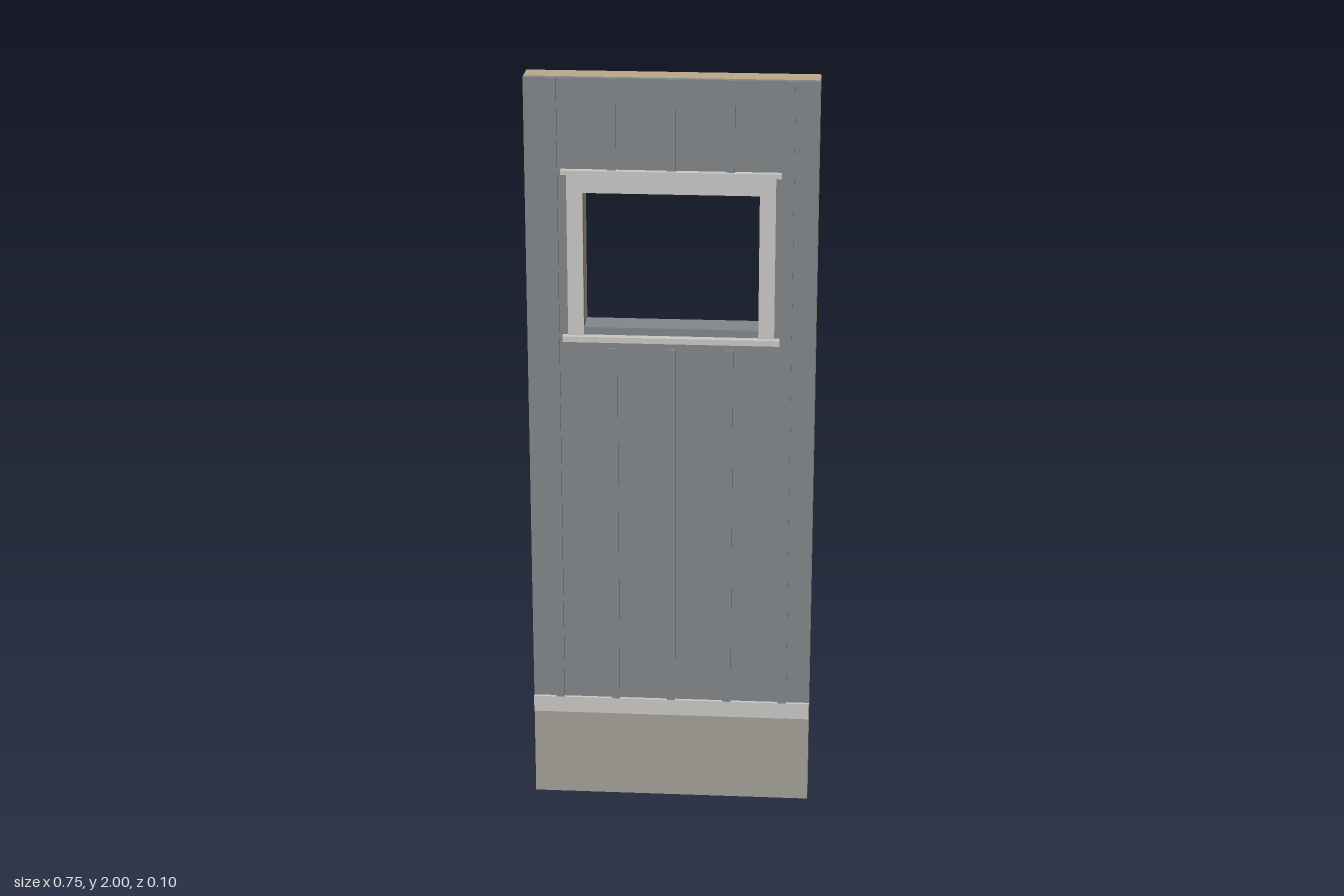
import * as THREE from 'three';

const W = 0.746, BACK = -0.051, CORE = 0.015, FACE = 0.03, TRIM = 0.039;
const BASE = 0.25, TOP = 2;
const OPEN = { x: 0.225, y0: 1.325, y1: 1.705 };

export function createModel() {
  const model = new THREE.Group();
  const mat = (name, color) => {
    const m = new THREE.MeshStandardMaterial({ color });
    m.name = name;
    return m;
  };
  const siding = mat('grey siding', 0x82878b);
  const tan = mat('tan core', 0xbaaa8b);
  const white = mat('pale trim', 0xcac9c6);
  const concrete = mat('concrete', 0xa3a197);

  const add = (name, geometry, material) => {
    const mesh = new THREE.Mesh(geometry, material);
    mesh.name = name;
    model.add(mesh);
    return mesh;
  };
  // Box given by its limits on each axis
  const box = (name, x0, x1, y0, y1, z0, z1, material) =>
    add(name, new THREE.BoxGeometry(x1 - x0, y1 - y0, z1 - z0), material)
      .position.set((x0 + x1) / 2, (y0 + y1) / 2, (z0 + z1) / 2);

  // Wall layer with the window opening cut through it
  const layer = (name, z0, z1, material) => {
    const h = W / 2;
    const shape = new THREE.Shape([[-h, BASE], [h, BASE], [h, TOP], [-h, TOP]]
      .map(([x, y]) => new THREE.Vector2(x, y)));
    const { x, y0, y1 } = OPEN;
    shape.holes.push(new THREE.Path([[-x, y0], [-x, y1], [x, y1], [x, y0]]
      .map(([px, py]) => new THREE.Vector2(px, py))));
    const g = new THREE.ExtrudeGeometry(shape, { depth: z1 - z0, bevelEnabled: false });
    add(name, g.translate(0, 0, z0), material);
  };

  layer('wallCore', BACK, CORE, tan);
  layer('sidingPanel', CORE, FACE, siding);
  box('foundation', -W / 2, W / 2, 0, BASE, BACK, FACE + 0.001, concrete);
  box('baseTrim', -W / 2, W / 2, BASE - 0.005, 0.29, FACE, TRIM, white);

  // Battens; the three middle ones stop at the window
  for (let i = -2; i <= 2; i++) {
    const x = i * 0.15, r = 0.011;
    const spans = Math.abs(i) === 2 ? [[0.29, TOP]] : [[0.29, 1.29], [1.765, TOP]];
    for (const [y0, y1] of spans) box('batten', x - r, x + r, y0, y1, FACE, TRIM, siding);
  }

  // Window surround
  const outer = 0.266;
  for (const s of [-1, 1]) {
    const xs = [s * OPEN.x, s * outer].sort((a, b) => a - b);
    box('windowSideCasing', xs[0], xs[1], OPEN.y0, OPEN.y1, FACE, TRIM, white);
  }
  box('windowHeadCasing', -outer, outer, OPEN.y1, 1.753, FACE, TRIM, white);
  box('windowHeadCap', -0.28, 0.28, 1.753, 1.765, FACE, 0.048, white);
  box('windowSillTrim', -0.28, 0.28, 1.31, 1.325, FACE, 0.051, white);
  box('windowSill', -OPEN.x, OPEN.x, OPEN.y0, 1.345, BACK - 0.0005, FACE, siding);

  return model;
}
